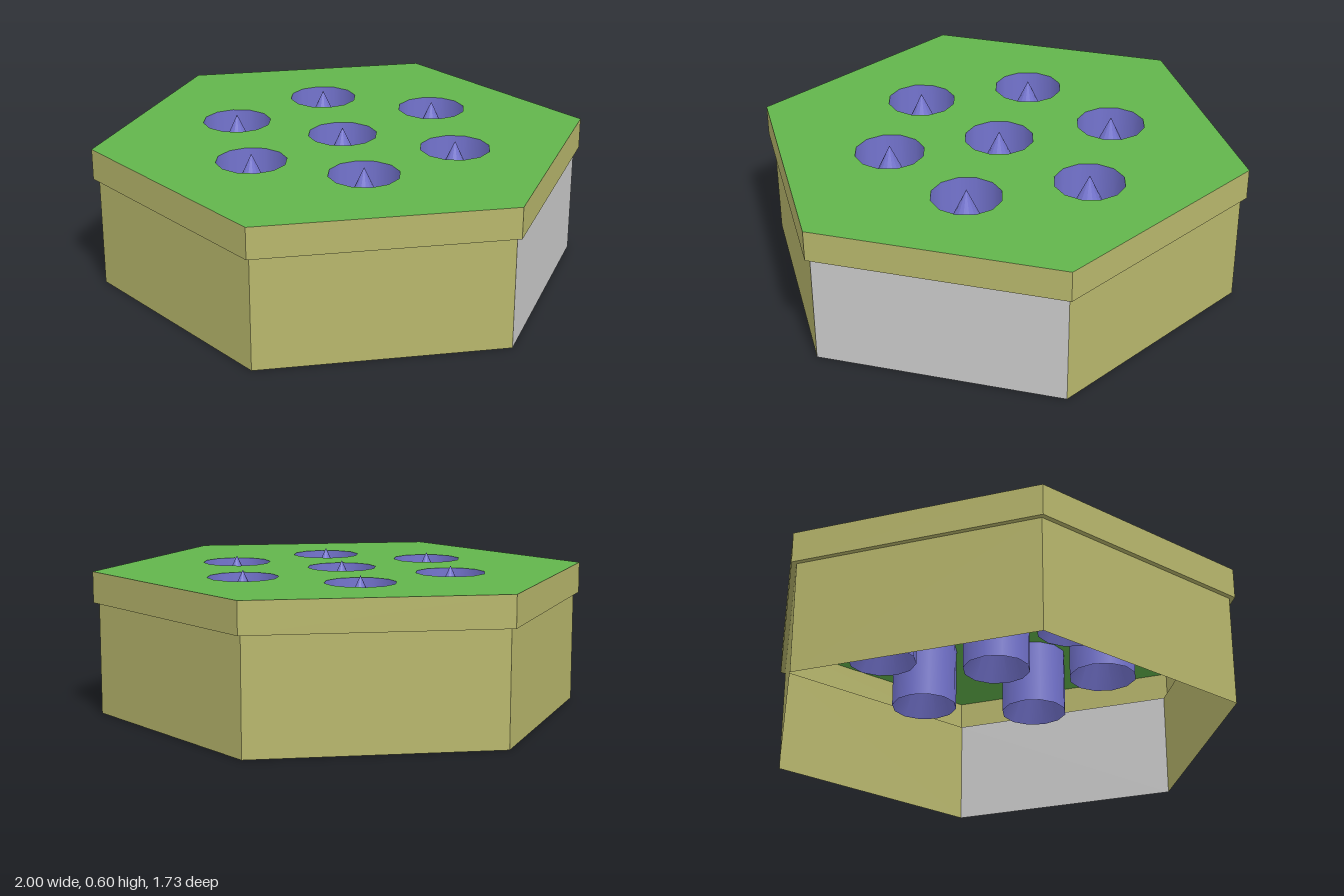
import * as THREE from 'three';

const LID_TOP = 0.575, LID_BOTTOM = 0.45, WALL_R = 0.977;
const TUBE_R = 0.139, TUBE_BOTTOM = 0.3, TIP = 0.602, SIDES = 12;

// Tube centres as x, z
const CENTRES = [
  [0, 0], [0, -0.49], [0, 0.46],
  [-0.406, -0.235], [0.406, -0.235], [-0.4, 0.23], [0.387, 0.222],
];

function material(color, flatShading) {
  return new THREE.MeshStandardMaterial({ color, flatShading, side: THREE.DoubleSide });
}

function ngon(Type, sides, r, x = 0, y = 0) {
  const points = [];
  for (let i = 0; i < sides; i++) {
    const a = (i / sides) * Math.PI * 2;
    points.push(new THREE.Vector2(x + r * Math.cos(a), y + r * Math.sin(a)));
  }
  return new Type(points);
}

export function createModel() {
  const model = new THREE.Group();
  const tan = material(0xb8b76c, true);
  const grey = material(0xcccccc, true);
  const green = material(0x62b54c, true);
  const blue = material(0x7474cf, false);

  const add = (parent, name, geometry, mat, x = 0, y = 0, z = 0) => {
    const mesh = new THREE.Mesh(geometry, mat);
    mesh.name = name;
    mesh.position.set(x, y, z);
    parent.add(mesh);
    return mesh;
  };

  // Six thin side walls, one of them grey
  const walls = new THREE.Group();
  walls.name = 'walls';
  model.add(walls);
  for (let i = 0; i < 6; i++) {
    const wall = new THREE.CylinderGeometry(WALL_R, WALL_R, LID_BOTTOM, 1, 1, true,
      Math.PI / 2 + (i * Math.PI) / 3, Math.PI / 3);
    add(walls, 'wall', wall, i === 0 ? grey : tan, 0, LID_BOTTOM / 2, 0);
  }

  // Lid: overhanging rim, its narrow underside, and the pierced top
  const lid = new THREE.Group();
  lid.name = 'lid';
  model.add(lid);
  const rimHeight = LID_TOP - LID_BOTTOM;
  const rim = new THREE.CylinderGeometry(1, 1, rimHeight, 6, 1, true, Math.PI / 2);
  add(lid, 'lidRim', rim, tan, 0, LID_BOTTOM + rimHeight / 2, 0);
  const lip = new THREE.RingGeometry(WALL_R, 1, 6).rotateX(Math.PI / 2);
  add(lid, 'lidLip', lip, tan, 0, LID_BOTTOM, 0);

  const top = ngon(THREE.Shape, 6, 1);
  for (const [x, z] of CENTRES) top.holes.push(ngon(THREE.Path, SIDES, TUBE_R, x, -z));
  add(lid, 'lidTop', new THREE.ShapeGeometry(top).rotateX(-Math.PI / 2), green, 0, LID_TOP, 0);

  // Tubes hanging from the holes, each closed by a tall cone whose tip rises just above the lid
  const tubeHeight = LID_TOP - TUBE_BOTTOM, coneHeight = TIP - TUBE_BOTTOM;
  const tube = new THREE.CylinderGeometry(TUBE_R, TUBE_R, tubeHeight, SIDES, 1, true);
  const cone = new THREE.ConeGeometry(TUBE_R, coneHeight, SIDES, 1, true);
  for (const [x, z] of CENTRES) {
    const holder = new THREE.Group();
    holder.name = 'holder';
    holder.position.set(x, TUBE_BOTTOM, z);
    model.add(holder);
    add(holder, 'tube', tube, blue, 0, tubeHeight / 2, 0);
    add(holder, 'cone', cone, blue, 0, coneHeight / 2, 0);
  }
  return model;
}
